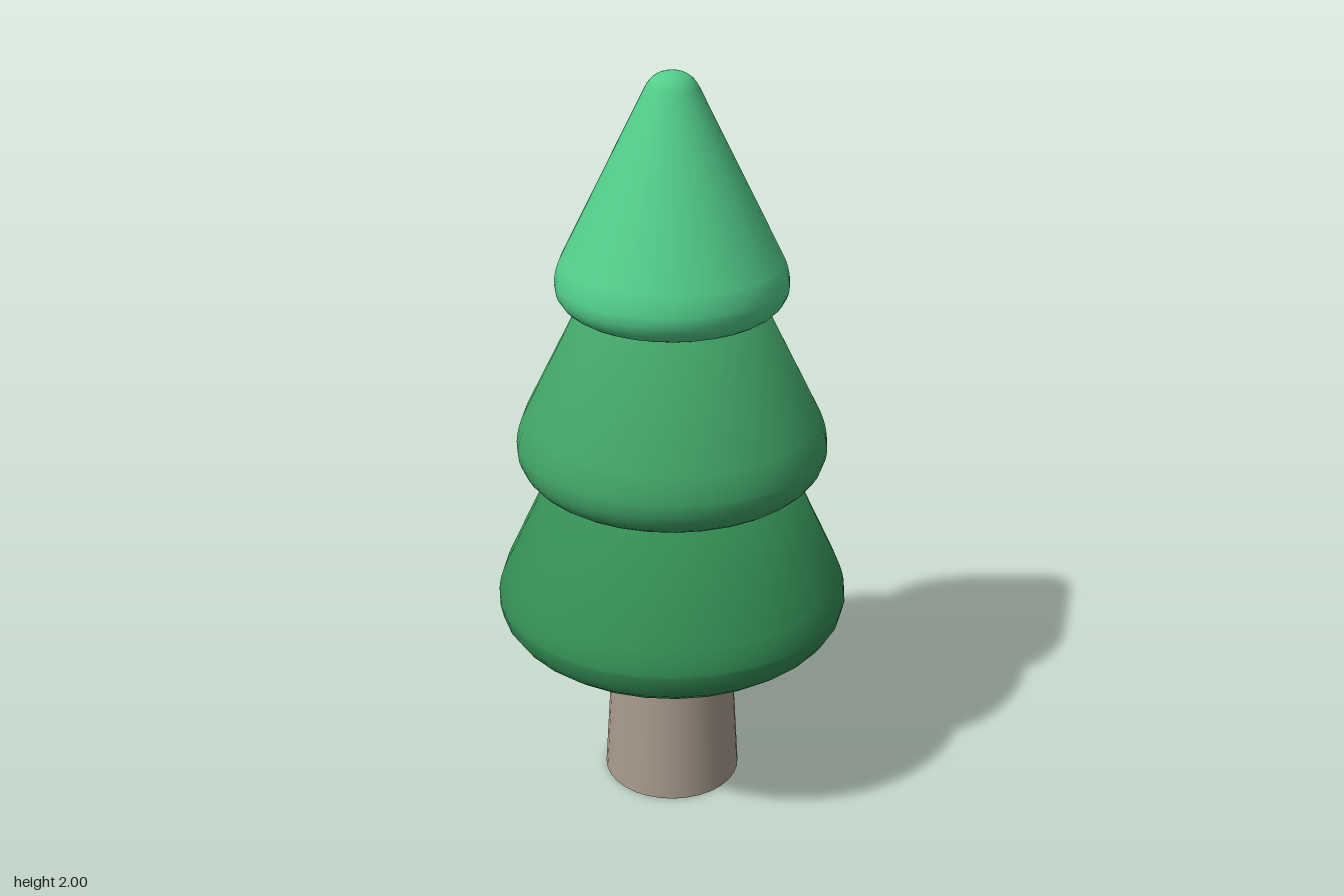
import * as THREE from 'three';

const SEGMENTS = 32;

// Revolve a bottom-to-top outline around the y axis
function revolve(name, path, color) {
  const geometry = new THREE.LatheGeometry(path.getPoints(8), SEGMENTS);
  const mesh = new THREE.Mesh(geometry, new THREE.MeshStandardMaterial({ color }));
  mesh.name = name;
  return mesh;
}

export function createModel() {
  const group = new THREE.Group();
  group.name = 'tree';

  // Tapered trunk, sunk slightly into the foliage
  const trunk = new THREE.Mesh(
    new THREE.CylinderGeometry(0.163, 0.19, 0.45, SEGMENTS),
    new THREE.MeshStandardMaterial({ color: 0xa89a8c })
  );
  trunk.name = 'trunk';
  trunk.position.y = 0.225;
  group.add(trunk);

  // Lower tier: gently domed underside, full rounded rim, sloped side
  const lower = new THREE.Path();
  lower.moveTo(0, 0.405);
  lower.lineTo(0.1, 0.406);
  lower.bezierCurveTo(0.3, 0.41, 0.475, 0.47, 0.475, 0.575);
  lower.quadraticCurveTo(0.473, 0.61, 0.455, 0.65);
  lower.lineTo(0.31, 0.96);
  lower.lineTo(0, 0.97);
  group.add(revolve('lowerFoliage', lower, 0x338d54));

  // Middle tier
  const middle = new THREE.Path();
  middle.moveTo(0, 0.91);
  middle.lineTo(0.28, 0.911);
  middle.bezierCurveTo(0.36, 0.915, 0.411, 0.96, 0.411, 1.02);
  middle.quadraticCurveTo(0.408, 1.06, 0.39, 1.1);
  middle.lineTo(0.225, 1.43);
  middle.lineTo(0, 1.44);
  group.add(revolve('middleFoliage', middle, 0x40a266));

  // Upper tier with a rounded tip
  const upper = new THREE.Path();
  upper.moveTo(0, 1.385);
  upper.lineTo(0.2, 1.386);
  upper.bezierCurveTo(0.26, 1.388, 0.3, 1.42, 0.3, 1.465);
  upper.quadraticCurveTo(0.298, 1.495, 0.285, 1.525);
  upper.lineTo(0.067, 1.96);
  upper.bezierCurveTo(0.052, 1.988, 0.03, 2, 0, 2);
  group.add(revolve('upperFoliage', upper, 0x52cc8a));

  return group;
}
